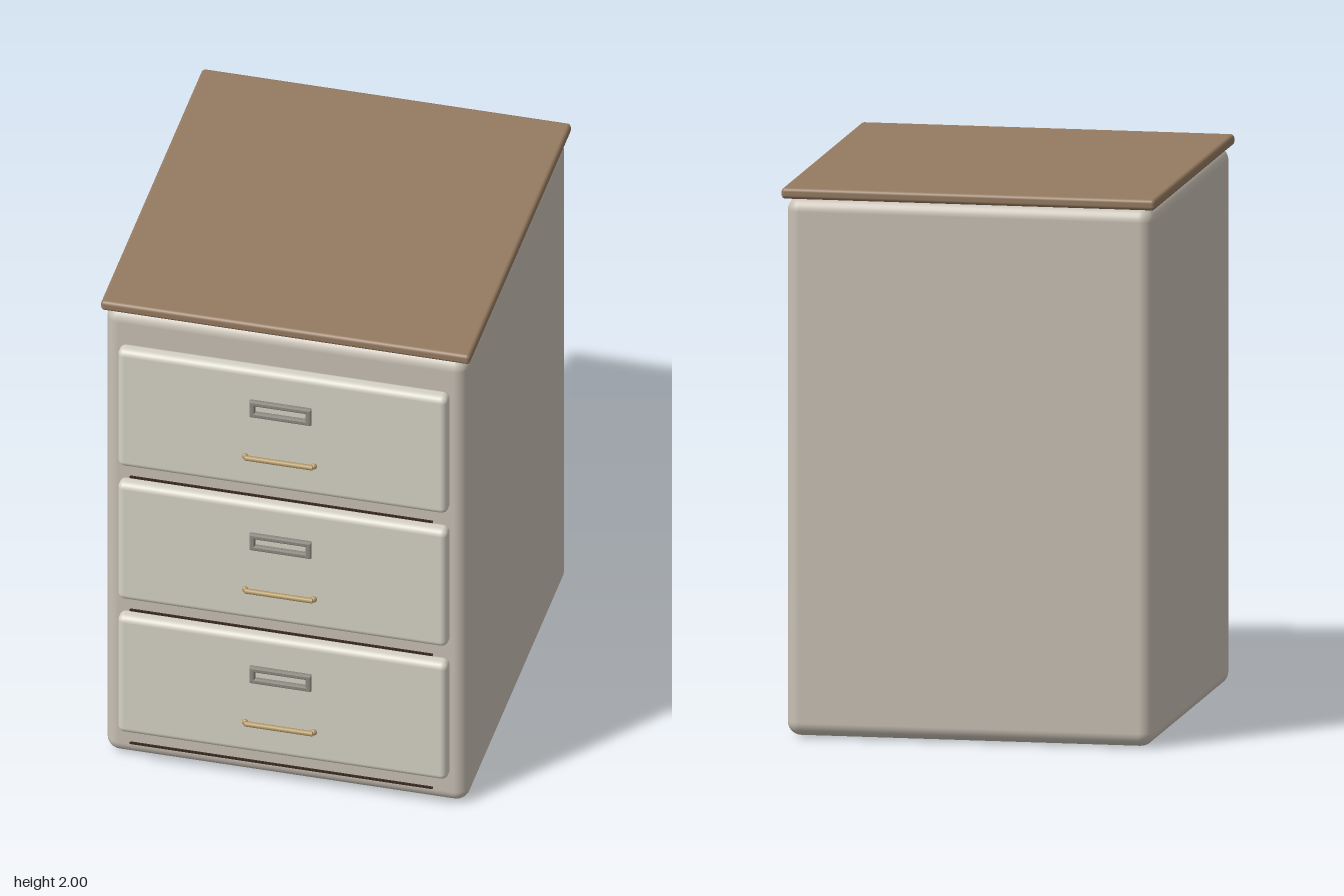
import * as THREE from 'three';
import { RoundedBoxGeometry } from 'three/addons/geometries/RoundedBoxGeometry.js';

const paint = (color) => new THREE.MeshStandardMaterial({ color });
const bodyPaint = paint(0xc8c0b4);
const drawerPaint = paint(0xd6d2c6);
const wood = paint(0x957a60);
const brass = paint(0xb39865);
const steel = paint(0x8c8a80);
const gapPaint = paint(0x3a2a20);
const rubber = paint(0x2a2a2a);

function add(parent, name, geometry, material, x = 0, y = 0, z = 0) {
  const mesh = new THREE.Mesh(geometry, material);
  mesh.name = name;
  mesh.position.set(x, y, z);
  parent.add(mesh);
  return mesh;
}

// Rounded box given by its lower and upper limits
function roundedBox(parent, name, material, [x0, y0, z0], [x1, y1, z1], radius) {
  const geometry = new RoundedBoxGeometry(x1 - x0, y1 - y0, z1 - z0, 4, radius);
  return add(parent, name, geometry, material, (x0 + x1) / 2, (y0 + y1) / 2, (z0 + z1) / 2);
}

function rectangle(PathType, w, h) {
  const p = new PathType();
  p.moveTo(-w, -h);
  p.lineTo(w, -h);
  p.lineTo(w, h);
  p.lineTo(-w, h);
  p.closePath();
  return p;
}

// Bevelled frame with an open window
function labelFrameGeometry() {
  const shape = rectangle(THREE.Shape, 0.109, 0.03);
  shape.holes.push(rectangle(THREE.Path, 0.099, 0.02));
  return new THREE.ExtrudeGeometry(shape, {
    depth: 0.008, bevelEnabled: true, bevelThickness: 0.006, bevelSize: 0.005, bevelSegments: 2,
  });
}

function createHandle() {
  const handle = new THREE.Group();
  handle.name = 'handle';
  const bar = add(handle, 'handleBar', new THREE.CylinderGeometry(0.01, 0.01, 0.25, 16), brass, 0, 0, 0.781);
  bar.rotation.z = Math.PI / 2;
  for (const side of [-1, 1]) {
    const end = add(handle, 'handleEnd', new THREE.SphereGeometry(0.012, 16, 12), brass, side * 0.127, 0, 0.771);
    end.scale.z = 0.8;
  }
  return handle;
}

function createDrawer(bottom) {
  const drawer = new THREE.Group();
  drawer.name = 'drawer';
  drawer.position.y = bottom;
  roundedBox(drawer, 'drawerFront', drawerPaint, [-0.61, 0, 0.672], [0.61, 0.515, 0.735], 0.025);
  add(drawer, 'labelFrame', labelFrameGeometry(), steel, 0, 0.363, 0.75);
  const handle = createHandle();
  handle.position.y = 0.16;
  drawer.add(handle);
  // Dark shadow line below the drawer
  add(drawer, 'shadowLine', new THREE.BoxGeometry(1.12, 0.008, 0.006), gapPaint, 0, -0.028, 0.743);
  return drawer;
}

export function createModel() {
  const cabinet = new THREE.Group();
  cabinet.name = 'drawerCabinet';

  roundedBox(cabinet, 'body', bodyPaint, [-0.67, 0.005, -0.775], [0.67, 1.962, 0.68], 0.05);
  roundedBox(cabinet, 'topBoard', wood, [-0.683, 1.96, -0.79], [0.683, 2, 0.69], 0.014);

  for (let i = 0; i < 3; i++) cabinet.add(createDrawer(0.137 + i * 0.588));

  // Four feet almost flush with the underside
  for (const x of [-0.525, 0.525]) {
    for (const z of [-0.57, 0.47]) {
      add(cabinet, 'foot', new THREE.CylinderGeometry(0.045, 0.045, 0.03, 24), rubber, x, 0.015, z);
    }
  }
  return cabinet;
}
